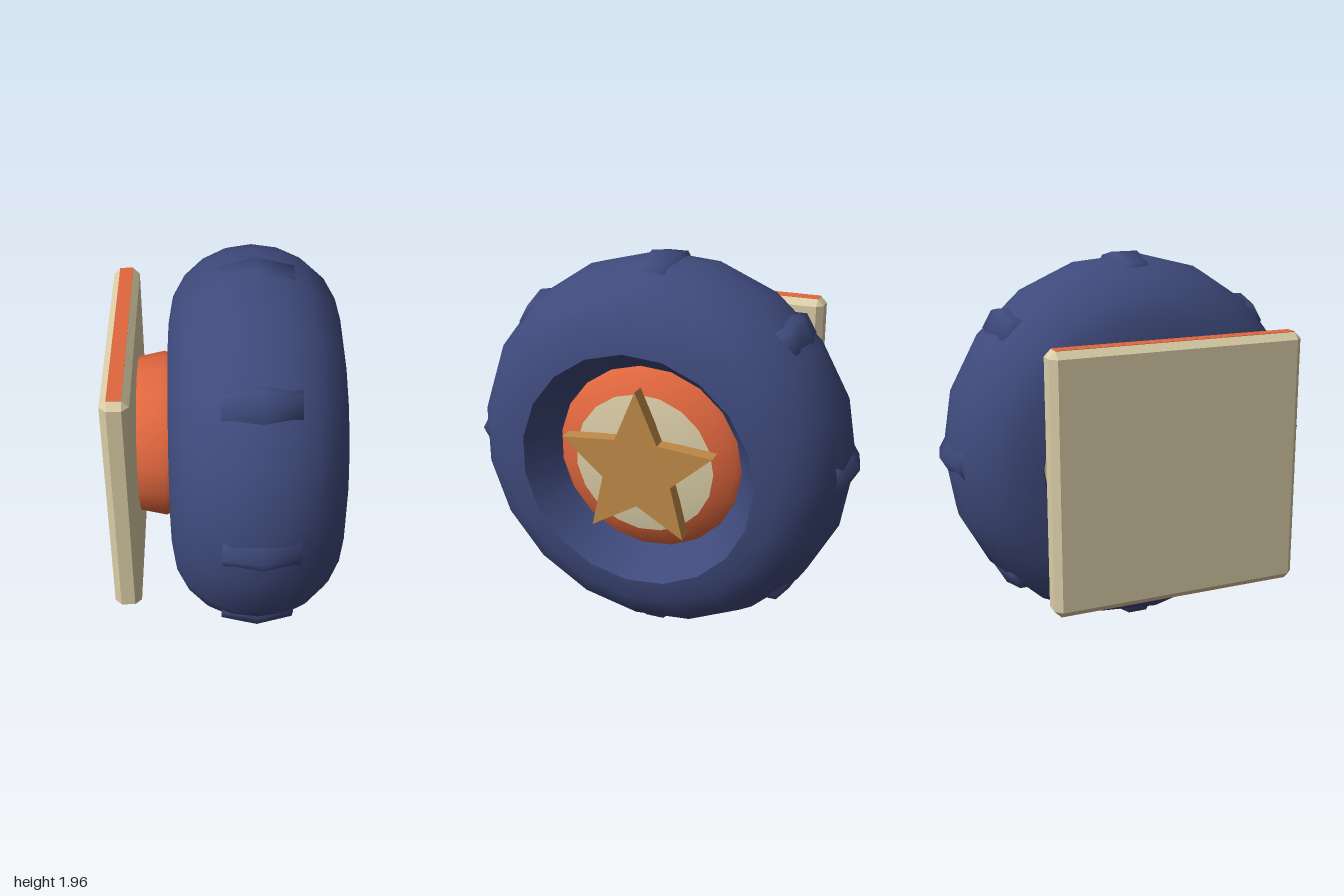
import * as THREE from 'three';
import { ConvexGeometry } from 'three/addons/geometries/ConvexGeometry.js';

const SIDES = 19, CY = 0.985, CX = 0.145;

function paint(name, color) {
  const m = new THREE.MeshStandardMaterial({ color });
  m.name = name;
  return m;
}

// Surface of revolution about the x axis; profile is a list of [x, radius]
function turned(profile, sides = SIDES, start = Math.PI) {
  const pts = profile.map(([x, r]) => new THREE.Vector2(r, x));
  return new THREE.LatheGeometry(pts, sides, start).rotateZ(-Math.PI / 2);
}

// Box with every edge chamfered by c
function chamferedBox(w, h, d, c) {
  const pts = [];
  for (const x of [-1, 1]) for (const y of [-1, 1]) for (const z of [-1, 1]) {
    const a = w / 2, b = h / 2, e = d / 2;
    pts.push(new THREE.Vector3(x * a, y * (b - c), z * (e - c)));
    pts.push(new THREE.Vector3(x * (a - c), y * b, z * (e - c)));
    pts.push(new THREE.Vector3(x * (a - c), y * (b - c), z * e));
  }
  return new ConvexGeometry(pts);
}

export function createModel() {
  const navy = paint('navy', 0x3f4a7c);
  const orange = paint('orange', 0xe0673e);
  const cream = paint('cream', 0xdacda6);
  const gold = paint('gold', 0xc08a48);

  const model = new THREE.Group();
  model.name = 'mountedWheel';
  const add = (name, geometry, material, x = 0, y = CY, z = 0) => {
    const mesh = new THREE.Mesh(geometry, material);
    mesh.name = name;
    mesh.position.set(x, y, z);
    model.add(mesh);
    return mesh;
  };

  // Tyre: half-ellipse section with tapering hole walls
  const section = [];
  for (let i = 0; i <= 10; i++) {
    const a = Math.PI * i / 10;
    section.push([CX - 0.425 * Math.cos(a), 0.595 + 0.375 * Math.sin(a)]);
  }
  add('tyre', turned(section), navy);
  add('outerHoleWall', turned([[0.57, 0.595], [0.37, 0.475]]), navy);
  add('innerHoleWall', turned([[-0.2, 0.56], [-0.28, 0.595]]), navy);

  // Eight barrel-shaped tread lugs, all kept upright
  const lug = turned([[-0.18, 0], [-0.18, 0.1], [0, 0.14], [0.18, 0.1], [0.18, 0]], 6, 0);
  for (let i = 0; i < 8; i++) {
    const a = i * Math.PI / 4;
    add('treadLug', lug, navy, CX, CY + 0.86 * Math.sin(a), 0.86 * Math.cos(a));
  }

  // Hub: orange dome with a cream cap on the outer side
  add('hubDome', turned([[0.36, 0.49], [0.41, 0.45], [0.45, 0.36]]), orange);
  add('hubCap', turned([[0.45, 0.36], [0.475, 0.22], [0.485, 0]]), cream);

  // Backing disc and axle barrel on the inner side
  add('backDisc', turned([[-0.25, 0], [-0.25, 0.58]]), cream);
  add('axleBarrel', turned([[-0.45, 0.39], [-0.44, 0.4], [-0.31, 0.427], [-0.24, 0.4]]), orange);

  // Five-pointed star
  const star = new THREE.Shape();
  for (let i = 0; i < 10; i++) {
    const a = Math.PI / 2 + i * Math.PI / 5, r = i % 2 ? 0.185 : 0.405;
    star[i ? 'lineTo' : 'moveTo'](r * Math.cos(a), r * Math.sin(a));
  }
  const starBody = new THREE.ExtrudeGeometry(star, { depth: 0.075, bevelEnabled: false });
  add('star', starBody.rotateY(Math.PI / 2), gold, 0.47);

  // Square mounting plate with orange strips on its top and bottom edges
  add('mountingPlate', chamferedBox(0.135, 1.28, 1.28, 0.033), cream, -0.508);
  for (const s of [-1, 1]) {
    add('edgeStrip', new THREE.BoxGeometry(0.069, 0.004, 1.214), orange, -0.508, CY + s * 0.64);
  }

  return model;
}
